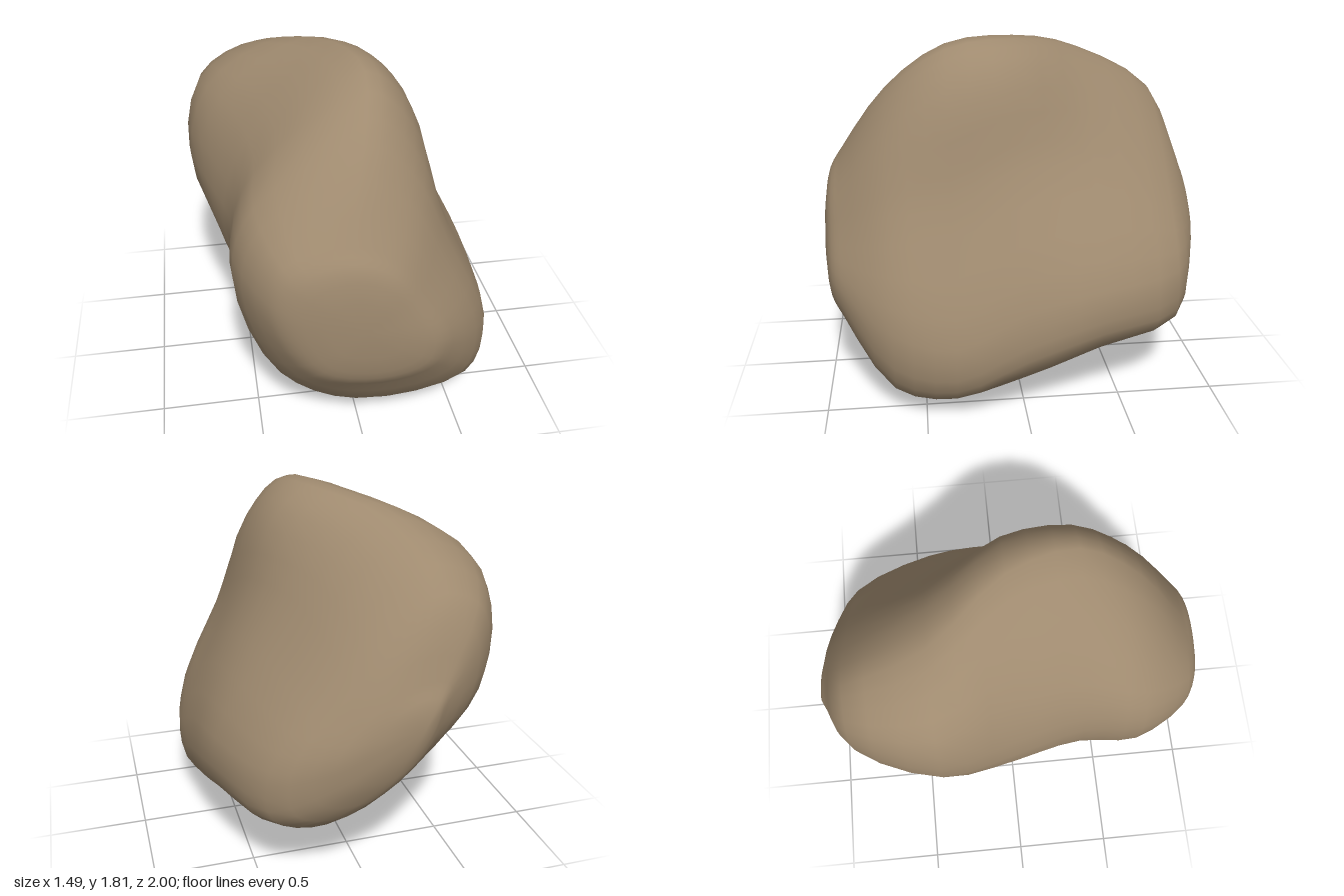
import * as THREE from 'three';

// Cross-sections from back to front: z, then [x, y] corners that start at the
// ridge and run down the +x side, along the underside and up the -x side.
const sections = [
  { z: -0.94, loop: [[-0.24, 1.08], [-0.08, 1.03], [0.08, 0.9], [0.2, 0.72], [0.16, 0.58], [-0.06, 0.58], [-0.23, 0.72], [-0.33, 0.92], [-0.34, 1.06]] },
  { z: -0.8, loop: [[-0.36, 1.44], [-0.14, 1.34], [0.2, 1.01], [0.47, 0.66], [0.46, 0.4], [0.2, 0.33], [-0.25, 0.6], [-0.55, 0.95], [-0.55, 1.34]] },
  { z: -0.38, loop: [[-0.3, 1.68], [-0.03, 1.59], [0.29, 1.18], [0.65, 0.65], [0.64, 0.37], [0.3, 0.22], [-0.3, 0.43], [-0.73, 0.95], [-0.67, 1.47]] },
  { z: 0, loop: [[-0.02, 1.79], [0.22, 1.66], [0.4, 1.2], [0.7, 0.58], [0.69, 0.26], [0.28, 0.07], [-0.28, 0.27], [-0.675, 0.94], [-0.52, 1.46]] },
  { z: 0.35, loop: [[0.08, 1.77], [0.3, 1.58], [0.46, 1.07], [0.735, 0.42], [0.67, 0.12], [0, 0], [-0.33, 0.2], [-0.585, 0.92], [-0.45, 1.39]] },
  { z: 0.65, loop: [[0.02, 1.55], [0.25, 1.38], [0.44, 1], [0.66, 0.48], [0.59, 0.15], [0, 0.05], [-0.39, 0.29], [-0.595, 0.92], [-0.48, 1.27]] },
  { z: 0.9, loop: [[-0.08, 1.19], [0.14, 1.09], [0.29, 0.88], [0.42, 0.62], [0.37, 0.45], [0.08, 0.37], [-0.27, 0.47], [-0.45, 0.85], [-0.38, 1.11]] },
];
const backTip = new THREE.Vector3(-0.2, 0.88, -1);
const frontTip = new THREE.Vector3(-0.02, 0.78, 1);

const AROUND = 36;
const ALONG = 27;

// Smooth one closed section and resample it.
function sectionRing({ z, loop }) {
  const points = loop.map(([x, y]) => new THREE.Vector3(x, y, z));
  const curve = new THREE.CatmullRomCurve3(points, true, 'centripetal');
  return Array.from({ length: AROUND }, (_, j) => curve.getPoint(j / AROUND));
}

// Smaller ring that rounds off an end towards its tip.
function endRing(ring, tip, z, scale) {
  return ring.map((p) => tip.clone().lerp(p, scale).setZ(z));
}

function boulderGeometry() {
  const body = sections.map(sectionRing);
  const first = body[0];
  const last = body[body.length - 1];
  const rings = [
    endRing(first, backTip, -0.98, 0.5),
    ...body,
    endRing(last, frontTip, 0.962, 0.76),
    endRing(last, frontTip, 0.99, 0.4),
  ];

  // Lengthwise splines join the rings.
  const lines = Array.from({ length: AROUND }, (_, j) =>
    new THREE.CatmullRomCurve3(rings.map((ring) => ring[j]), false, 'centripetal'));
  const positions = [];
  for (let i = 0; i <= ALONG; i++) {
    for (const line of lines) positions.push(...line.getPoint(i / ALONG).toArray());
  }
  const back = positions.length / 3;
  const front = back + 1;
  positions.push(...backTip.toArray(), ...frontTip.toArray());

  const index = [];
  for (let j = 0; j < AROUND; j++) {
    const k = (j + 1) % AROUND;
    for (let i = 0; i < ALONG; i++) {
      const a = i * AROUND + j;
      const b = i * AROUND + k;
      index.push(a, a + AROUND, b, b, a + AROUND, b + AROUND);
    }
    index.push(back, j, k);
    index.push(front, ALONG * AROUND + k, ALONG * AROUND + j);
  }

  const geometry = new THREE.BufferGeometry();
  geometry.setAttribute('position', new THREE.Float32BufferAttribute(positions, 3));
  geometry.setIndex(index);
  geometry.computeVertexNormals();
  return geometry;
}

export function createModel() {
  const group = new THREE.Group();
  group.name = 'rock';
  const stone = new THREE.MeshStandardMaterial({ color: 0x9f8a6f });
  stone.name = 'brown stone';
  const boulder = new THREE.Mesh(boulderGeometry(), stone);
  boulder.name = 'boulder';
  group.add(boulder);
  return group;
}
